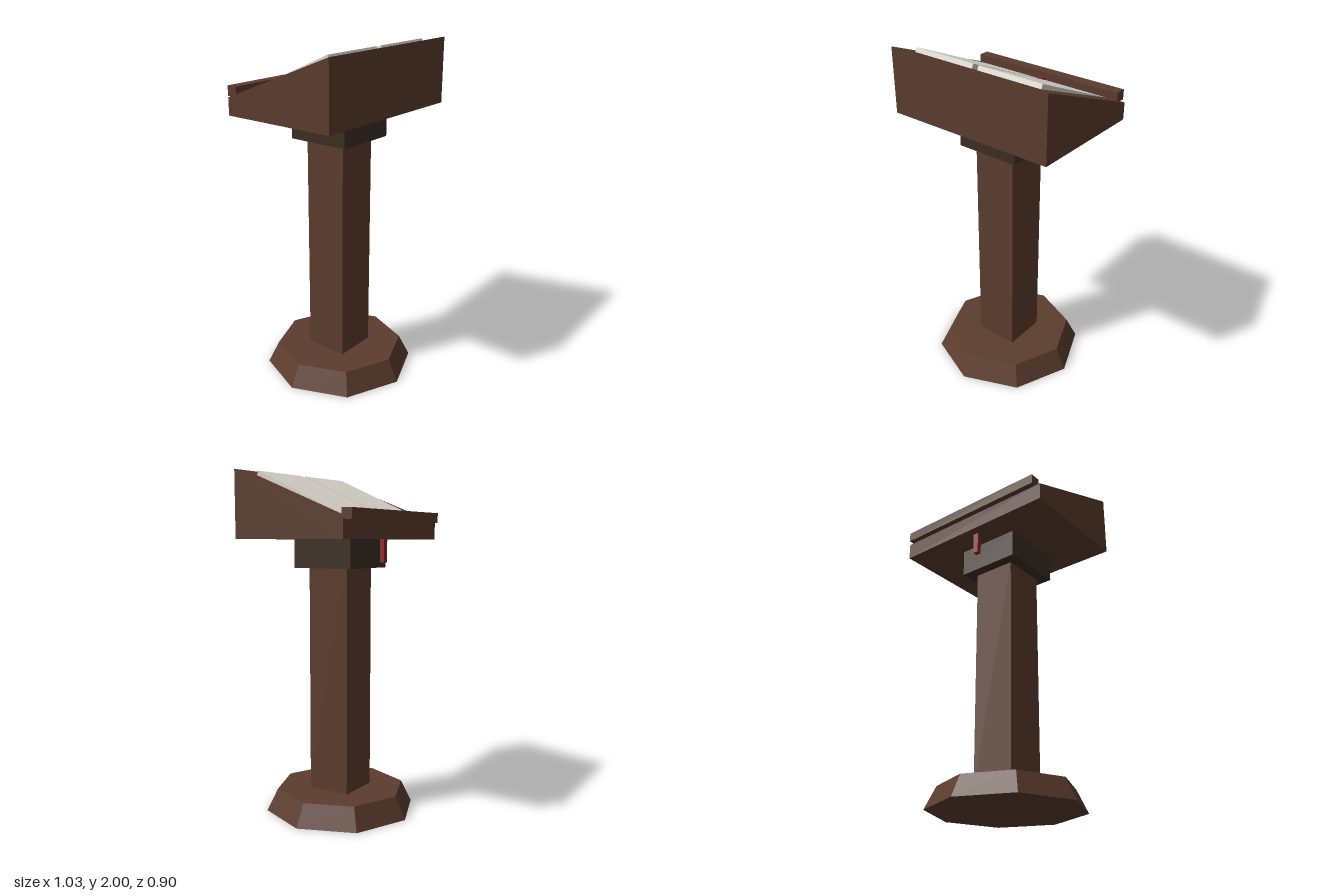
import * as THREE from 'three';

function material(name, color) {
  const m = new THREE.MeshStandardMaterial({ color });
  m.name = name;
  return m;
}

export function createModel() {
  const wood = material('wood', 0x5c3d2e);
  const darkWood = material('darkWood', 0x3d2e22);
  const paper = material('paper', 0xdedad0);
  const red = material('red', 0x8b2428);
  wood.flatShading = true;

  const model = new THREE.Group();
  model.name = 'lectern';
  const add = (name, geometry, mat, x, y, z) => {
    const mesh = new THREE.Mesh(geometry, mat);
    mesh.name = name;
    mesh.position.set(x, y, z);
    model.add(mesh);
    return mesh;
  };
  const box = (name, mat, w, h, d, x, y, z) =>
    add(name, new THREE.BoxGeometry(w, h, d), mat, x, y, z);

  // Tapered octagonal foot, square post and dark collar
  add('base', new THREE.CylinderGeometry(0.385, 0.45, 0.13, 8), wood, 0, 0.065, 0);
  box('post', wood, 0.26, 1.34, 0.26, 0, 0.79, 0);
  box('collar', darkWood, 0.385, 0.165, 0.385, 0, 1.5375, 0);

  // Sloped desk: side profile (z, y) extruded across x
  const profile = new THREE.Shape([
    new THREE.Vector2(-0.355, 1.62),
    new THREE.Vector2(0.355, 1.62),
    new THREE.Vector2(0.355, 2.0),
    new THREE.Vector2(-0.355, 1.72),
  ]);
  const desk = new THREE.ExtrudeGeometry(profile, { depth: 1.03, bevelEnabled: false });
  desk.translate(0, 0, -0.515).rotateY(-Math.PI / 2);
  desk.scale(1, 1, 1);
  add('desk', desk, wood, 0, 0, 0);

  // Ledge that stops the book sliding off the low edge
  box('ledge', wood, 0.97, 0.058, 0.063, 0, 1.748, -0.357);

  // Open book: two thick page blocks, tilted slightly more than the desk
  const low = new THREE.Vector2(-0.317, 1.736);
  const high = new THREE.Vector2(0.266, 1.993);
  const tilt = Math.atan2(high.y - low.y, high.x - low.x);
  const thick = 0.053;
  const pageGeometry = new THREE.BoxGeometry(0.4, thick, low.distanceTo(high));
  pageGeometry.translate(0, -thick / 2, 0);
  for (const [name, side] of [['leftPage', 1], ['rightPage', -1]]) {
    const page = add(name, pageGeometry, paper, side * 0.218, (low.y + high.y) / 2, (low.x + high.x) / 2);
    page.rotation.x = -tilt;
  }

  // Bookmark ribbon hanging through the desk
  box('ribbon', red, 0.034, 0.267, 0.028, 0, 1.6235, -0.291);

  return model;
}
